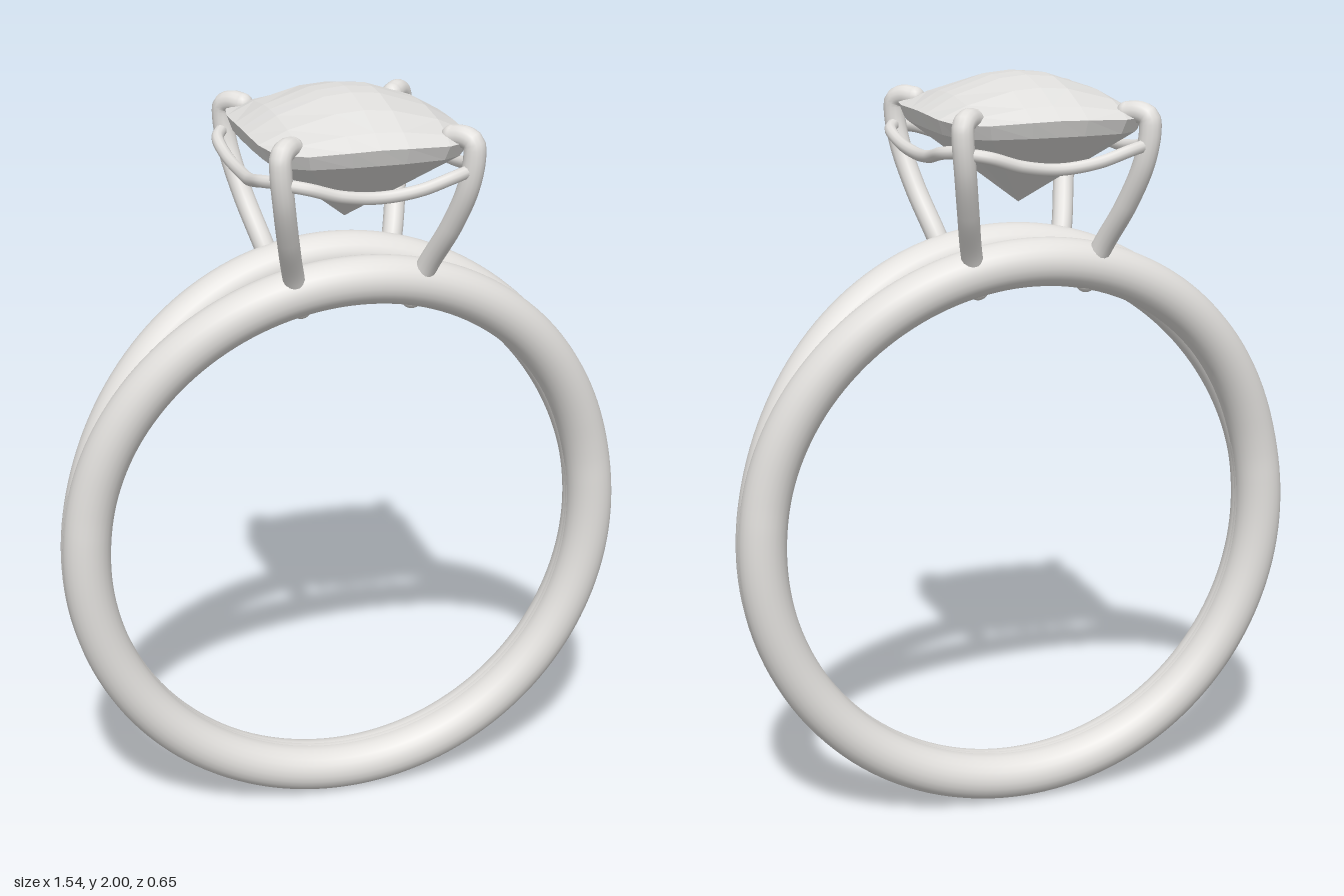
import * as THREE from 'three';

const V = (x, y, z) => new THREE.Vector3(x, y, z);

export function createModel() {
  const ring = new THREE.Group();
  ring.name = 'ring';
  const metal = new THREE.MeshStandardMaterial({ name: 'polished metal', color: 0xe2e0dd });
  const stoneColor = new THREE.MeshStandardMaterial({ name: 'clear stone', color: 0xe0dfdd });

  const add = (parent, name, geometry, material) => {
    const mesh = new THREE.Mesh(geometry, material);
    mesh.name = name;
    parent.add(mesh);
    return mesh;
  };

  // Points round the finger, from angle a0 to a1; spread parts the loop sideways near the top
  const bandPoints = (a0, a1, count, spread) => Array.from({ length: count }, (_, i) => {
    const a = a0 + ((a1 - a0) * i) / count;
    const s = Math.sin(a);
    const y = 0.78 + s * (s > 0 ? 0.747 : 0.716);
    const t = THREE.MathUtils.clamp((y - 0.93) / 0.597, 0, 1);
    return V(0.707 * Math.cos(a), y, spread * (0.014 + 0.099 * Math.pow(t, 1.5)));
  });

  // Split band: two loops that run together below and part towards the top
  for (const side of [1, -1]) {
    const path = new THREE.CatmullRomCurve3(bandPoints(-Math.PI / 2, Math.PI * 1.5, 64, side), true);
    add(ring, side > 0 ? 'frontBand' : 'backBand', new THREE.TubeGeometry(path, 160, 0.063, 24, true), metal);
  }
  // Core that smooths the joined lower half
  const core = new THREE.CatmullRomCurve3(bandPoints(-Math.PI - 0.25, 0.25, 48, 0));
  add(ring, 'lowerShank', new THREE.TubeGeometry(core, 100, 0.063, 24), metal);

  // Claw prongs: rise from the band and hook over the stone corners
  for (const sx of [1, -1]) {
    for (const sz of [1, -1]) {
      const prong = new THREE.Group();
      prong.name = `prong${sz > 0 ? 'Front' : 'Back'}${sx > 0 ? 'Left' : 'Right'}`;
      const points = [
        [0.147, 1.465, 0.107], [0.176, 1.56, 0.145], [0.21, 1.68, 0.222], [0.234, 1.79, 0.274],
        [0.244, 1.87, 0.287], [0.242, 1.905, 0.283], [0.224, 1.917, 0.262], [0.203, 1.914, 0.237],
      ].map(([x, y, z]) => V(sx * x, y, sz * z));
      add(prong, 'claw', new THREE.TubeGeometry(new THREE.CatmullRomCurve3(points), 48, 0.028, 14), metal);
      for (const end of [points[0], points[points.length - 1]]) {
        add(prong, 'roundedEnd', new THREE.SphereGeometry(0.028, 14, 10), metal).position.copy(end);
      }
      ring.add(prong);
    }
  }

  // Gallery wires: sag between neighbouring prongs
  const half = {
    long: [[0.25, 1.842, 0.275], [0.275, 1.834, 0.22], [0.277, 1.812, 0.12]],
    short: [[0.238, 1.838, 0.283], [0.18, 1.828, 0.306], [0.1, 1.803, 0.303]],
  };
  for (const s of [1, -1]) {
    const sidePoints = [
      ...half.long.map(([x, y, z]) => V(s * x, y, z)), V(s * 0.272, 1.802, 0),
      ...half.long.map(([x, y, z]) => V(s * x, y, -z)).reverse(),
    ];
    const endPoints = [
      ...half.short.map(([x, y, z]) => V(x, y, s * z)), V(0, 1.79, s * 0.294),
      ...half.short.map(([x, y, z]) => V(-x, y, s * z)).reverse(),
    ];
    add(ring, s > 0 ? 'leftGalleryWire' : 'rightGalleryWire',
      new THREE.TubeGeometry(new THREE.CatmullRomCurve3(sidePoints), 48, 0.016, 10), metal);
    add(ring, s > 0 ? 'frontGalleryWire' : 'backGalleryWire',
      new THREE.TubeGeometry(new THREE.CatmullRomCurve3(endPoints), 48, 0.016, 10), metal);
  }

  // Cushion-cut stone
  const stone = new THREE.Group();
  stone.name = 'stone';
  ring.add(stone);
  const faceted = (triangles) => {
    const geometry = new THREE.BufferGeometry().setFromPoints(triangles);
    geometry.computeVertexNormals();
    return geometry;
  };

  // Crown: a shallow dome of rectangular facets with clipped corners
  const us = [-1, -0.72, -0.27, 0, 0.27, 0.72, 1];
  const vs = [-1, -0.82, -0.53, -0.2, 0, 0.2, 0.53, 0.82, 1];
  const crownPoint = (u, v) => {
    const x = u * (1 - 0.15 * u * u * v ** 4);
    const z = v * (1 - 0.13 * v * v * u ** 4);
    const p = x * x, q = z * z;
    return V(0.268 * x, 2 - 0.09 * (p + q - 0.75 * p * q), 0.308 * z);
  };
  const crown = [], girdle = [];
  vs.forEach((v, j) => us.forEach((u, i) => {
    if (Math.abs(u) === 1 || Math.abs(v) === 1) girdle.push(crownPoint(u, v));
    if (i === us.length - 1 || j === vs.length - 1) return;
    const a = crownPoint(u, v), b = crownPoint(us[i + 1], v);
    const c = crownPoint(u, vs[j + 1]), d = crownPoint(us[i + 1], vs[j + 1]);
    // Diagonals mirror across the centre lines
    if (u * v >= 0 === (u >= 0 === v >= 0) && (u >= 0) === (v >= 0)) crown.push(a, c, b, b, c, d);
    else crown.push(a, c, d, a, d, b);
  }));
  add(stone, 'crown', faceted(crown), stoneColor);

  // Pavilion: steep facets narrowing from the girdle to a point
  girdle.sort((a, b) => Math.atan2(a.z, a.x) - Math.atan2(b.z, b.x));
  const loops = [
    girdle,
    ...[[0.95, 1.868], [0.64, 1.802], [0, 1.665]].map(([k, y]) => girdle.map((p) => V(p.x * k, y, p.z * k))),
  ];
  const pavilion = [];
  for (let l = 0; l < loops.length - 1; l++) {
    for (let i = 0; i < girdle.length; i++) {
      const n = (i + 1) % girdle.length;
      const [p0, p1, q0, q1] = [loops[l][i], loops[l][n], loops[l + 1][i], loops[l + 1][n]];
      pavilion.push(p0, p1, q0);
      if (l < loops.length - 2) pavilion.push(p1, q1, q0);
    }
  }
  add(stone, 'pavilion', faceted(pavilion), stoneColor);

  return ring;
}
